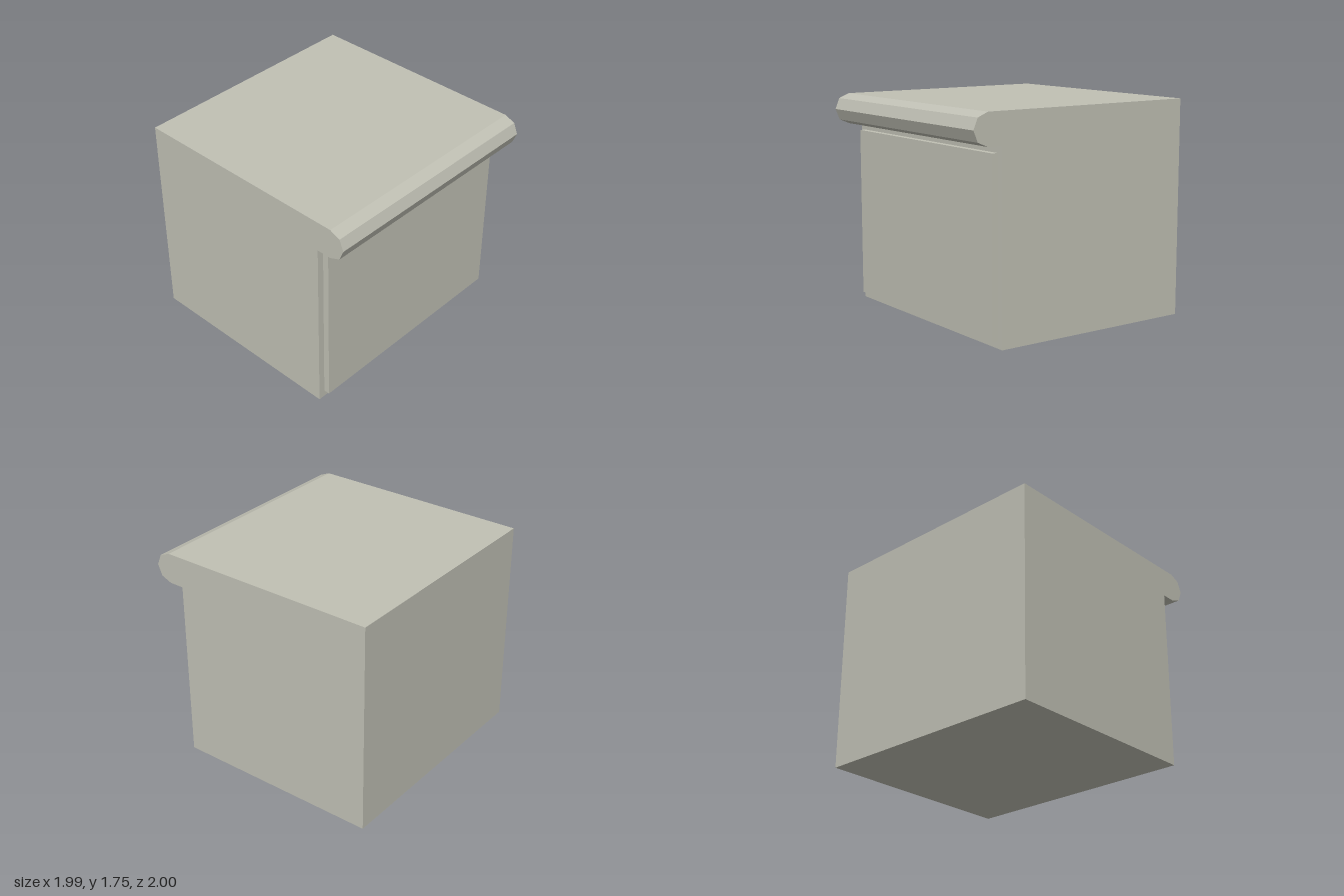
import * as THREE from 'three';

export function createModel() {
  const group = new THREE.Group();
  group.name = 'cabinet';
  const paint = new THREE.MeshStandardMaterial({ color: 0xc0c0b4 });
  paint.name = 'warm grey';

  // Extrudes an x/y outline across the full depth, centred on z
  const extrude = (name, points, depth) => {
    const shape = new THREE.Shape(points.map(([x, y]) => new THREE.Vector2(x, y)));
    const geometry = new THREE.ExtrudeGeometry(shape, { depth, bevelEnabled: false });
    geometry.translate(0, 0, -depth / 2);
    const mesh = new THREE.Mesh(geometry, paint);
    mesh.name = name;
    group.add(mesh);
  };

  // Cabinet body and worktop with faceted bullnose overhang, as one solid
  const top = 1.755, under = 1.505, radius = (top - under) / 2;
  const noseX = 0.87, noseY = under + radius;
  const outline = [[-0.995, 0], [0.747, 0], [0.747, under]];
  for (let i = 0; i <= 4; i++) {
    const a = -Math.PI / 2 + (i * Math.PI) / 4;
    outline.push([noseX + Math.cos(a) * radius, noseY + Math.sin(a) * radius]);
  }
  outline.push([-0.995, top]);
  extrude('bodyAndWorktop', outline, 2);

  // Raised door panel under the overhang
  const door = new THREE.Mesh(new THREE.BoxGeometry(0.06, 1.39, 1.89), paint);
  door.name = 'doorPanel';
  door.position.set(0.767, 0.753, 0);
  group.add(door);

  return group;
}
